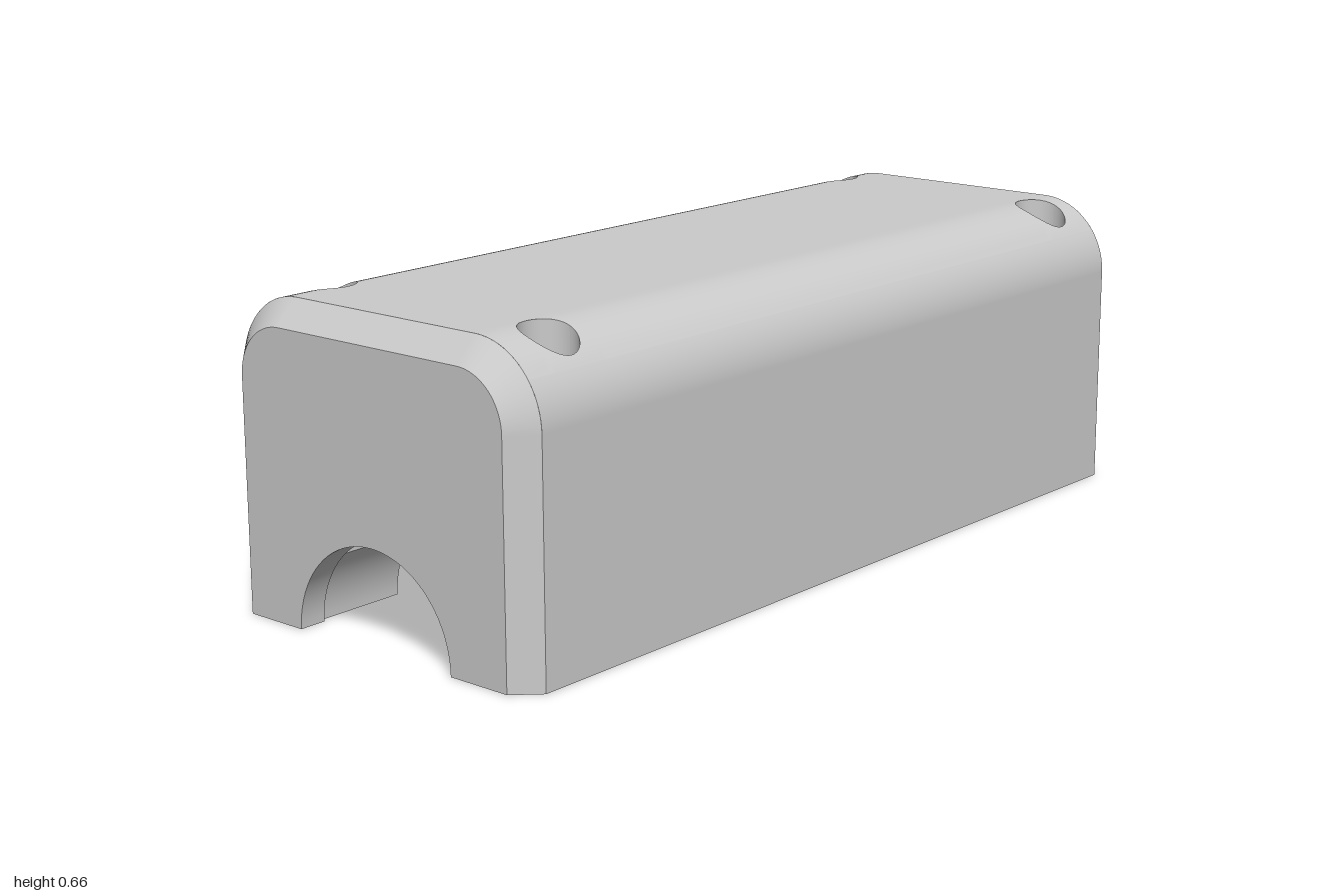
import * as THREE from 'three';

const grey = new THREE.MeshStandardMaterial({ color: 0xcbcbcb, side: THREE.DoubleSide });
grey.name = 'grey';

// Main dimensions
const END = 1, CHAMFER_X = 0.95, CAVITY_X = 0.73, STEP_X = 0.94;
const ZC = 0.243, YC = 0.493, R_OUT = 0.164, R_IN = 0.112, CEILING = YC + R_IN;
const ARCH_R = 0.209, SEAT_R = 0.22, PILLAR_Z = 0.165;
const HOLE_X = [-0.817, 0.843], HOLE_Z = 0.3, BORE_R = 0.058, SCREW_R = 0.032;
const BORE_FLOOR = 0.42, SCREW_TOP = 0.38, PATCH = 0.075;
const GROOVE_X = 0.9, GROOVE_Z = [0.366, 0.392], GROOVE_Y = 0.03;

// Height of the outer roof at a given z
const roofY = (z) => {
  const d = Math.max(0, Math.abs(z) - ZC);
  return YC + Math.sqrt(Math.max(0, R_OUT * R_OUT - d * d));
};

// Grid surface from a rule f(u, v) -> [x, y, z]
function surface(nu, nv, f) {
  const pos = [], idx = [];
  for (let j = 0; j <= nv; j++) {
    for (let i = 0; i <= nu; i++) pos.push(...f(i / nu, j / nv));
  }
  for (let j = 0; j < nv; j++) {
    for (let i = 0; i < nu; i++) {
      const a = j * (nu + 1) + i, b = a + nu + 1;
      idx.push(a, b, a + 1, a + 1, b, b + 1);
    }
  }
  const g = new THREE.BufferGeometry();
  g.setAttribute('position', new THREE.Float32BufferAttribute(pos, 3));
  g.setIndex(idx);
  g.computeVertexNormals();
  return g;
}

// Strip between two equal-length lists of [z, y], placed at xa and xb
const strip = (a, xa, b, xb) => surface(a.length - 1, 1, (u, v) => {
  const p = (v ? b : a)[Math.round(u * (a.length - 1))];
  return [v ? xb : xa, p[1], p[0]];
});

// Rounded cover profile with corner radius r
function profile(r) {
  const pts = [[ZC + r, 0]];
  for (const s of [1, -1]) {
    for (let i = 0; i <= 16; i++) {
      const t = (s > 0 ? i : 16 - i) / 16 * Math.PI / 2;
      pts.push([s * (ZC + r * Math.cos(t)), YC + r * Math.sin(t)]);
    }
  }
  pts.push([-ZC - r, 0]);
  return pts;
}

// Arc of radius r rising from the base through the given angle
const arc = (r, angle, n) => Array.from({ length: n + 1 }, (_, i) => {
  const t = i / n * angle;
  return [r * Math.cos(t), r * Math.sin(t)];
});

const mirrored = (list, s) => list.map(([z, y]) => [s * z, y]);

// Flat face at x, bounded by an outer and an inner list
function face(outer, opening, x) {
  const pts = [...outer, ...[...opening].reverse()];
  const g = new THREE.ShapeGeometry(new THREE.Shape(pts.map((p) => new THREE.Vector2(-p[0], p[1]))));
  g.rotateY(Math.PI / 2);
  g.translate(x, 0, 0);
  return g;
}

export function createModel() {
  const model = new THREE.Group();
  model.name = 'cover';
  const add = (name, geometry) => {
    const m = new THREE.Mesh(geometry, grey);
    m.name = name;
    model.add(m);
  };

  const outer = profile(R_OUT), inner = profile(R_IN);
  const zIn = HOLE_Z - PATCH, zOut = HOLE_Z + PATCH;

  // Flat roof between the screw rows
  const roof = [[zIn, roofY(0)], [-zIn, roofY(0)]];
  add('roof', strip(roof, -CHAMFER_X, roof, CHAMFER_X));

  for (const s of [1, -1]) {
    // Side wall and lower part of the rounded shoulder
    const top = Math.acos((zOut - ZC) / R_OUT);
    const side = [[s * (ZC + R_OUT), 0]];
    for (let i = 0; i <= 10; i++) {
      const t = top * i / 10;
      side.push([s * (ZC + R_OUT * Math.cos(t)), YC + R_OUT * Math.sin(t)]);
    }
    add('sideWall', strip(side, -CHAMFER_X, side, CHAMFER_X));

    // Shoulder sections between the screw holes
    const band = Array.from({ length: 17 }, (_, i) => {
      const z = s * (HOLE_Z + PATCH * Math.tan((i / 16 - 0.5) * Math.PI / 2));
      return [z, roofY(z)];
    });
    const [h0, h1] = HOLE_X;
    for (const [a, b] of [[-CHAMFER_X, h0 - PATCH], [h0 + PATCH, h1 - PATCH], [h1 + PATCH, CHAMFER_X]]) {
      add('shoulder', strip(band, a, band, b));
    }

    for (const hx of HOLE_X) {
      const hz = s * HOLE_Z;
      const at = (u, r) => [hx + r * Math.cos(u * 2 * Math.PI), hz + r * Math.sin(u * 2 * Math.PI)];
      // Shoulder around the hole, from circle out to square
      add('shoulderAroundHole', surface(64, 5, (u, v) => {
        const c = Math.cos(u * 2 * Math.PI), k = Math.sin(u * 2 * Math.PI);
        const edge = PATCH / Math.max(Math.abs(c), Math.abs(k));
        const [x, z] = at(u, BORE_R + (edge - BORE_R) * v);
        return [x, roofY(z), z];
      }));
      // Counterbore wall, its conical floor and the screw hole
      add('counterbore', surface(64, 1, (u, v) => {
        const [x, z] = at(u, BORE_R);
        return [x, v ? BORE_FLOOR : roofY(z), z];
      }));
      add('counterboreFloor', surface(64, 1, (u, v) => {
        const [x, z] = at(u, v ? SCREW_R : BORE_R);
        return [x, v ? SCREW_TOP : BORE_FLOOR, z];
      }));
      add('screwHole', new THREE.CylinderGeometry(SCREW_R, SCREW_R, SCREW_TOP, 32, 1, true).translate(hx, SCREW_TOP / 2, hz));
    }

    // Bottom rim with corner blocks, screw holes and a slot for the groove
    const half = [[END, ARCH_R], [END, ZC + R_IN], [CHAMFER_X, ZC + R_OUT]];
    const block = [[CAVITY_X, ZC + R_IN], [CAVITY_X, SEAT_R], [STEP_X, SEAT_R], [STEP_X, ARCH_R]];
    const flip = (list) => [...list].reverse().map(([x, z]) => [-x, z]);
    const rim = new THREE.Shape([...half, ...flip(half), ...flip(block), ...block]
      .map(([x, z]) => new THREE.Vector2(x, s * z)));
    for (const hx of HOLE_X) {
      rim.holes.push(new THREE.Path().absarc(hx, s * HOLE_Z, SCREW_R, 0, Math.PI * 2));
    }
    const [g0, g1] = GROOVE_Z;
    rim.holes.push(new THREE.Path([[-GROOVE_X, g0], [GROOVE_X, g0], [GROOVE_X, g1], [-GROOVE_X, g1]]
      .map(([x, z]) => new THREE.Vector2(x, s * z))));
    add('bottomRim', new THREE.ShapeGeometry(rim, 16).rotateX(Math.PI / 2));

    // Sealing groove: walls, floor and ends
    const section = mirrored([[g0, 0], [g0, GROOVE_Y], [g1, GROOVE_Y], [g1, 0]], s);
    for (let i = 0; i < 3; i++) {
      const part = section.slice(i, i + 2);
      add('groove', strip(part, -GROOVE_X, part, GROOVE_X));
    }
    for (const x of [-GROOVE_X, GROOVE_X]) {
      add('grooveEnd', face(section.slice(0, 2), section.slice(2).reverse(), x));
    }

    // Posts hanging from the inside of the roof
    for (const x of [-0.57, 0, 0.57]) {
      add('innerPost', new THREE.BoxGeometry(0.09, 0.395, 0.127).translate(x, CEILING - 0.1975, s * 0.18));
    }
  }

  // Inner cavity
  add('cavity', strip(inner, -CAVITY_X, inner, CAVITY_X));

  // Ends: chamfer, end wall with arch, and screw pillars scooped out below
  const round = arc(ARCH_R, Math.PI, 40);
  const scoop = arc(SEAT_R, Math.acos(PILLAR_Z / SEAT_R), 12);
  const wall = [scoop[12], [PILLAR_Z, CEILING]];
  const ceiling = mirrored([[PILLAR_Z, CEILING], [-PILLAR_Z, CEILING]], 1);
  const pocket = [...scoop, wall[1]];
  const pocketOutline = [...pocket, ...mirrored(pocket, -1).reverse()];
  for (const e of [1, -1]) {
    add('endChamfer', strip(outer, e * CHAMFER_X, inner, e * END));
    add('endFace', face(inner, round, e * END));
    add('archOpening', strip(round, e * END, round, e * STEP_X));
    add('endWallInside', face(pocketOutline, round, e * STEP_X));
    add('endCeiling', strip(ceiling, e * STEP_X, ceiling, e * CAVITY_X));
    for (const s of [1, -1]) {
      const low = mirrored(scoop, s), high = mirrored(wall, s);
      add('pillarScoop', strip(low, e * STEP_X, low, e * CAVITY_X));
      add('pillarSide', strip(high, e * STEP_X, high, e * CAVITY_X));
      add('pillarFace', face(mirrored(inner.slice(0, 18), s), mirrored(pocket, s), e * CAVITY_X));
    }
  }

  return model;
}
